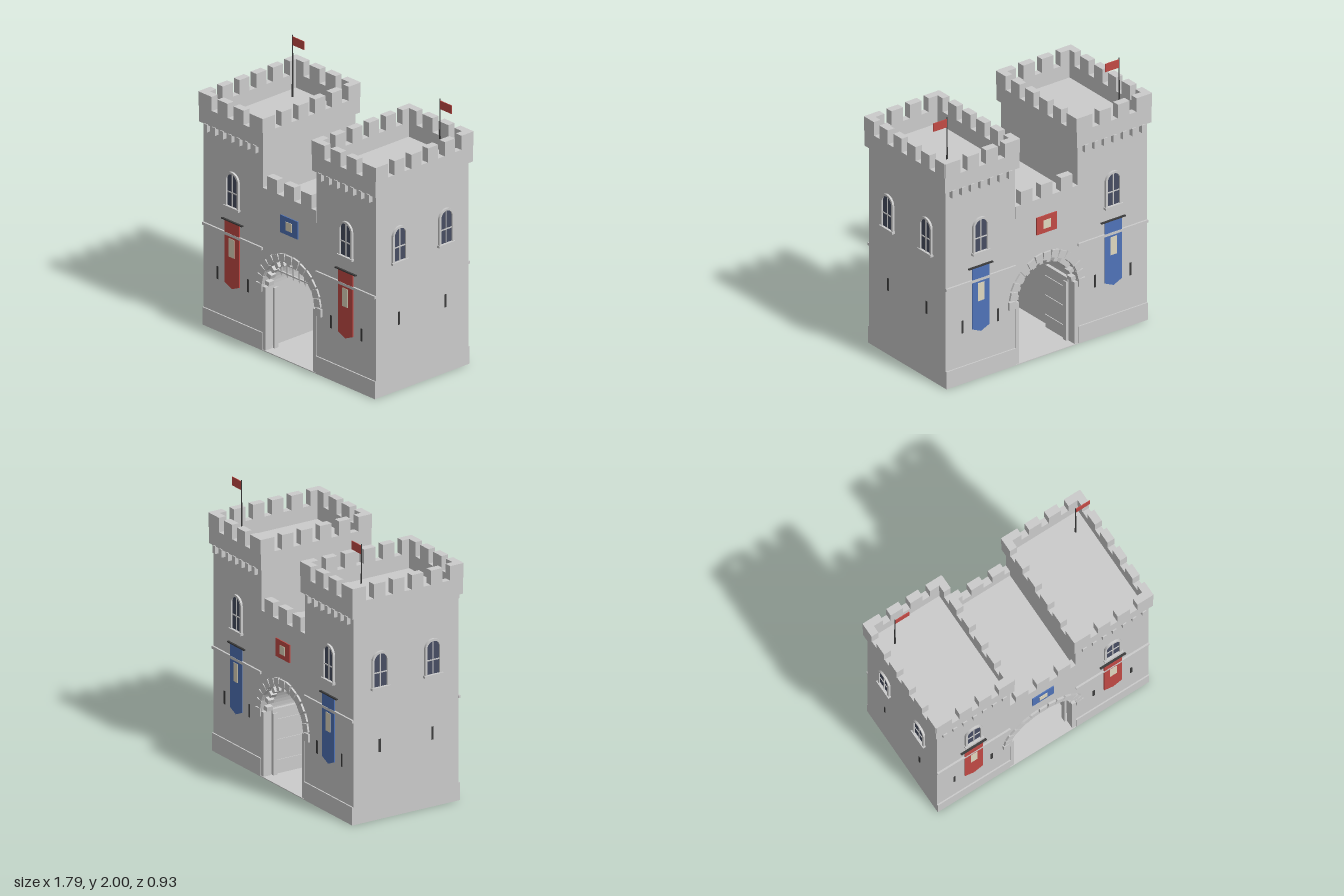
import * as THREE from 'three';

const mat = (color, side = THREE.FrontSide) => new THREE.MeshStandardMaterial({ color, side, flatShading: true });
const STONE = mat(0xcccccc), RED = mat(0xc24a45), BLUE = mat(0x4f73b8);
const CREAM = mat(0xe0d8c0), GLASS = mat(0x474d62), DARK = mat(0x3c3c3c);

const HW = 0.27;      // half width of the gatehouse
const TX = 0.57;      // tower centre
const TW = 0.6;       // tower width
const D = 0.435;      // half depth of the body
const SPRING = 0.47;  // springing height of the gate arch

function add(parent, name, geo, material = STONE, x = 0, y = 0, z = 0) {
  const m = new THREE.Mesh(geo, material);
  m.name = name;
  m.position.set(x, y, z);
  parent.add(m);
  return m;
}

// box given by its limits
function box(parent, name, x0, x1, y0, y1, z0, z1, material = STONE) {
  return add(parent, name, new THREE.BoxGeometry(Math.abs(x1 - x0), y1 - y0, Math.abs(z1 - z0)),
    material, (x0 + x1) / 2, (y0 + y1) / 2, (z0 + z1) / 2);
}

function group(parent, name, x = 0, y = 0, z = 0, ry = 0) {
  const g = new THREE.Group();
  g.name = name;
  g.position.set(x, y, z);
  g.rotation.y = ry;
  parent.add(g);
  return g;
}

const extrude = (shape, depth, curveSegments = 10) =>
  new THREE.ExtrudeGeometry(shape, { depth, bevelEnabled: false, curveSegments });

// round-topped outline: half width r, from y0 up to the springing y1
function archOutline(target, r, y0, y1) {
  target.moveTo(-r, y0);
  target.lineTo(r, y0);
  target.lineTo(r, y1);
  target.absarc(0, y1, r, 0, Math.PI, false);
  target.lineTo(-r, y0);
  return target;
}

// The wall groups below use x along the wall, y up and z = 0 on the wall face
function archedWindow(wall, x) {
  const g = group(wall, 'window', x);
  const frame = archOutline(new THREE.Shape(), 0.069, 0.975, 1.172);
  frame.holes.push(archOutline(new THREE.Path(), 0.053, 0.98, 1.172));
  add(g, 'windowFrame', extrude(frame, 0.016), STONE);
  add(g, 'windowPane', extrude(archOutline(new THREE.Shape(), 0.055, 0.978, 1.172), 0.004), GLASS);
  box(g, 'windowMullion', -0.004, 0.004, 0.98, 1.225, 0, 0.009);
  box(g, 'windowCrossbar', -0.053, 0.053, 1.08, 1.088, 0, 0.009);
  box(g, 'windowSill', -0.076, 0.076, 0.963, 0.98, 0, 0.024);
}

function slit(wall, x, y) {
  box(wall, 'arrowSlit', x - 0.008, x + 0.008, y - 0.048, y + 0.048, 0, 0.004, DARK);
}

function banner(wall, x, material) {
  const g = group(wall, 'banner', x);
  const s = new THREE.Shape();
  s.moveTo(-0.074, 0.865);
  s.lineTo(-0.074, 0.395);
  s.lineTo(0, 0.362);
  s.lineTo(0.074, 0.395);
  s.lineTo(0.074, 0.865);
  add(g, 'bannerCloth', extrude(s, 0.008), material, 0, 0, 0.004);
  box(g, 'bannerPatch', -0.027, 0.027, 0.6, 0.738, 0.011, 0.015, CREAM);
  box(g, 'bannerRod', -0.105, 0.105, 0.862, 0.87, 0, 0.016, DARK);
}

function gateArch(wall) {
  const g = group(wall, 'gateArch', 0, SPRING);
  const n = 15;
  for (let i = 0; i < n; i++) {
    const a = (i / (n - 1)) * Math.PI;
    const r = i % 2 ? 0.296 : 0.3;
    const b = add(g, 'archStone', new THREE.BoxGeometry(0.058, 0.06, 0.06), STONE,
      Math.cos(a) * r, Math.sin(a) * r, -0.015);
    b.rotation.z = a;
  }
  // small teeth under the arch
  for (let i = 0; i < 12; i++) {
    const a = ((i + 0.5) / 12) * Math.PI;
    const b = add(g, 'archTooth', new THREE.BoxGeometry(0.045, 0.032, 0.05), STONE,
      Math.cos(a) * 0.252, Math.sin(a) * 0.252, -0.04);
    b.rotation.z = a;
  }
  for (const s of [-1, 1]) {
    box(wall, 'gateJamb', s * 0.24, s * HW, 0, 0.48, -0.06, 0.005);
    box(wall, 'gateStop', s * 0.222, s * 0.238, 0, 0.46, -0.1, -0.065);
  }
}

// one long side of the castle
function facade(root, name, z, ry, cloth, plaque) {
  const w = group(root, name, 0, 0, z, ry);
  for (const s of [-1, 1]) {
    archedWindow(w, s * 0.573);
    banner(w, s * 0.573, cloth);
    slit(w, s * 0.727, 0.435);
    slit(w, s * 0.42, 0.435);
    box(w, 'stringCourse', s * HW, s * 0.872, 0.753, 0.773, 0, 0.014);
    for (let i = 0; i < 7; i++) {
      const x = s * (0.33 + i * 0.0815);
      box(w, 'corbel', x - 0.016, x + 0.016, 1.472, 1.53, -0.01, 0.03);
    }
  }
  box(w, 'plaque', -0.0875, 0.0875, 0.947, 1.08, 0, 0.008, plaque);
  box(w, 'plaquePatch', -0.032, 0.032, 0.981, 1.045, 0.006, 0.012, CREAM);
  // gatehouse parapet
  box(w, 'gateParapet', -HW, HW, 1.13, 1.222, -0.05, 0.003);
  for (const x of [-0.173, 0, 0.173]) box(w, 'gateMerlon', x - 0.051, x + 0.051, 1.222, 1.325, -0.052, 0.006);
  gateArch(w);
}

// wall with merlons, centred on x, outer face at z = 0; the end merlons fill the corners
function parapet(tower, len, z, x, ry, inner, cornerW, midW) {
  const w = group(tower, 'parapet', x, 0, z, ry);
  const h = len / 2, gap = (len - 2 * cornerW - inner * midW) / (inner + 1);
  box(w, 'parapetWall', -h, h, 1.525, 1.645, -0.05, 0);
  const merlon = (a, b) => box(w, 'merlon', a, b, 1.645, 1.752, -0.053, 0.004);
  merlon(-h, -h + cornerW);
  merlon(h - cornerW, h);
  for (let i = 0; i < inner; i++) {
    const a = -h + cornerW + gap + i * (midW + gap);
    merlon(a, a + midW);
  }
}

function buildTower(root, s) {
  const t = group(root, s > 0 ? 'leftTower' : 'rightTower', s * TX);
  const hw = TW / 2, pz = 0.445, th = 0.015;
  box(t, 'towerBody', -hw, hw, 0.13, 1.535, -D, D);
  // hollow plinth
  for (const k of [-1, 1]) {
    box(t, 'plinthSide', k * (hw - th), k * hw, 0, 0.13, -D, D);
    box(t, 'plinthFace', -hw, hw, 0, 0.132, k * (pz - th), k * pz);
  }
  const px = 0.322, pd = 0.457;
  parapet(t, px * 2, pd, 0, 0, 2, 0.13, 0.1);
  parapet(t, px * 2, -pd, 0, Math.PI, 2, 0.13, 0.1);
  parapet(t, pd * 2, 0, px, Math.PI / 2, 4, 0.11, 0.095);
  parapet(t, pd * 2, 0, -px, -Math.PI / 2, 4, 0.11, 0.095);

  // outer side wall
  const side = group(t, 'sideWall', s * hw, 0, 0, s * Math.PI / 2);
  for (const z of [-0.218, 0.218]) {
    archedWindow(side, z);
    slit(side, z, 0.543);
  }

  // flag
  const f = group(root, 'flag', s * 0.744, 0, -0.285);
  add(f, 'flagPole', new THREE.CylinderGeometry(0.003, 0.007, 0.47, 8), DARK, 0, 1.765, 0);
  box(f, 'flagCloth', 0.003, 0.118, 1.925, 1.988, -0.003, 0.003, RED);
}

function buildGatehouse(root) {
  const g = group(root, 'gatehouse');
  const s = new THREE.Shape();
  s.moveTo(HW, SPRING);
  s.lineTo(HW, 1.14);
  s.lineTo(-HW, 1.14);
  s.lineTo(-HW, SPRING);
  s.absarc(0, SPRING, HW - 0.001, Math.PI, 0, true);
  add(g, 'gatehouseBody', extrude(s, 2 * D, 16), STONE, 0, 0, -D);
  box(g, 'passageFloor', -HW, HW, 0, 0.006, -0.445, 0.445);

  // open door leaves with straps
  for (const k of [-1, 1]) {
    box(g, 'doorLeaf', k * 0.232, k * 0.258, 0.01, 0.49, -0.37, -0.12);
    for (const y of [0.1, 0.25, 0.4]) box(g, 'doorStrap', k * 0.226, k * 0.234, y - 0.012, y + 0.012, -0.37, -0.12);
  }

  // raised portcullis
  const p = group(g, 'portcullis', 0, 0, 0.345);
  for (let i = -4; i <= 4; i++) {
    const x = i * 0.06, top = SPRING + Math.sqrt(HW * HW - x * x);
    box(p, 'portcullisBar', x - 0.005, x + 0.005, 0.58, top, -0.005, 0.005);
    const tip = add(p, 'portcullisSpike', new THREE.ConeGeometry(0.009, 0.025, 4), STONE, x, 0.57, 0);
    tip.rotation.x = Math.PI;
  }
  for (const y of [0.592, 0.66]) {
    const w = Math.sqrt(HW * HW - (y - SPRING) ** 2);
    box(p, 'portcullisRail', -w, w, y - 0.005, y + 0.005, -0.007, 0.007);
  }
}

export function createModel() {
  const root = new THREE.Group();
  root.name = 'castleGate';
  for (const s of [-1, 1]) buildTower(root, s);
  buildGatehouse(root);
  facade(root, 'frontWall', D, 0, RED, BLUE);
  facade(root, 'backWall', -D, Math.PI, BLUE, RED);
  return root;
}
